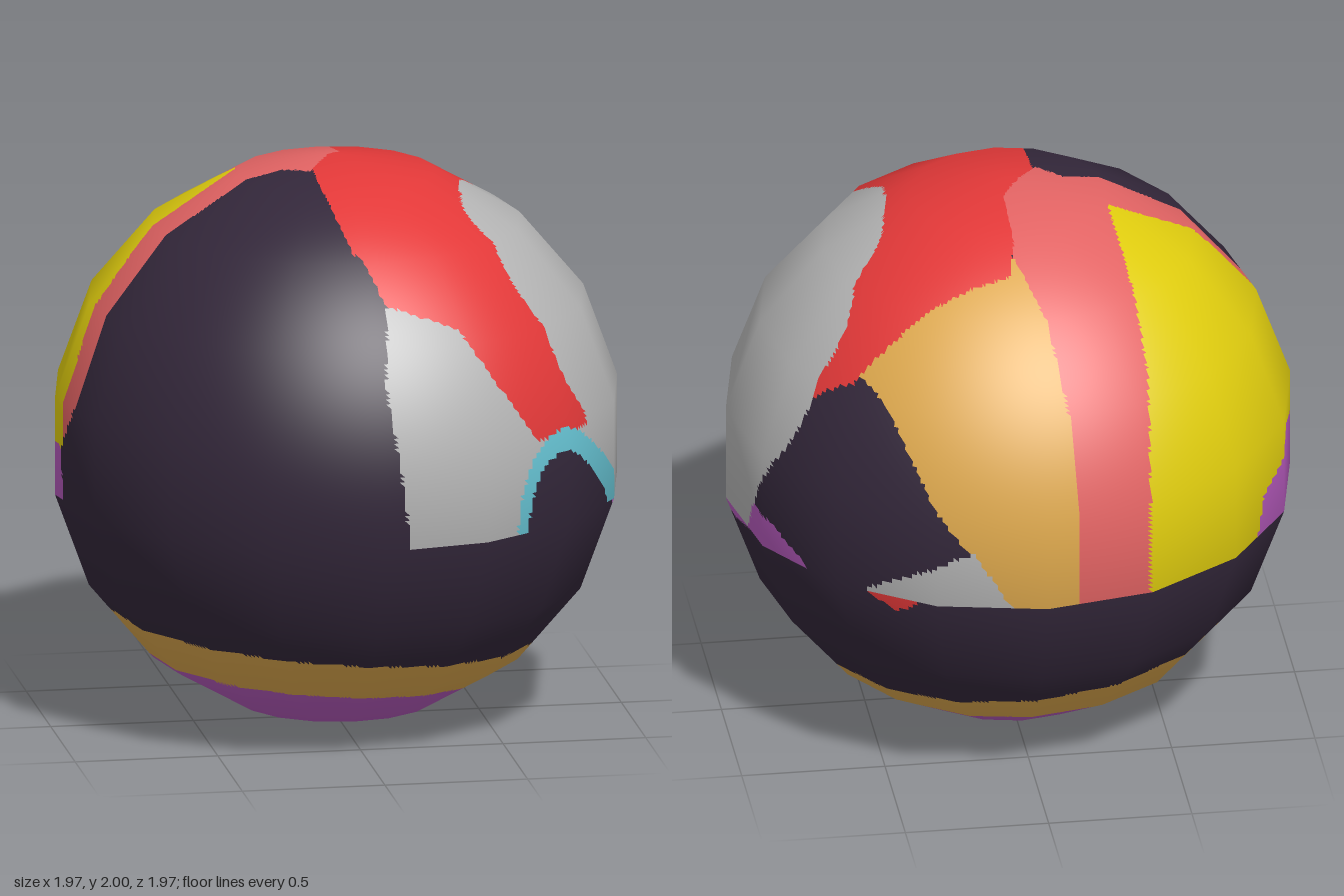
import * as THREE from 'three';

const SIDES = 16, RINGS = 9, CELLS = 20;   // low-poly ball, each facet divided into paint cells
const WAIST = 0.826;                       // ring where the lower bowl begins

const COLOURS = {
  dark: 0x33273a, red: 0xe23838, rose: 0xe26363, grey: 0xb4b4b4,
  cyan: 0x66c2d2, purple: 0xb65abd, gold: 0xdca74c, yellow: 0xdfcc0e,
};

// Is the point (u, v) inside a polygon?
function inside(u, v, poly) {
  let hit = false;
  poly.forEach(([a, b], i) => {
    const [c, d] = poly.at(i - 1);
    if ((b > v) !== (d > v) && u < (c - a) * (v - b) / (d - b) + a) hit = !hit;
  });
  return hit;
}

// Lopsided arch standing on the waist: round on the left, leaning on the right
function arch(angle, y, left, right, height) {
  const across = angle < 0 ? -angle / left : angle / right;
  const power = angle < 0 ? 2 : 1.3;
  return across ** power + ((y - WAIST) / height) ** power < 1;
}

// Trim under the round panel, seen from the side
const onTrim = (z, y) => inside(z, y, [[.44, .83], [.28, .8], [-.05, .77], [-.25, WAIST],
  [-.58, WAIST], [-.4, .94], [-.28, .945], [-.23, .83]]);

// Red band: over the crown, then down the front
const onCrown = (x, z) => inside(x, z, [[.06, -.47], [.62, -.56], [.76, -.45], [.6, .3], [.5, .5],
  [-.04, .6], [-.1, .3], [-.1, .1], [.03, -.1], [.03, -.35]]);
const onBrow = (x, y) => inside(x, y, [[-.1, 1.95], [.05, 1.64], [.3, 1.55], [.57, 1.15],
  [.78, 1.15], [.75, 1.3], [.5, 1.75]]);

// Cheek at the front and the foot of the round side panel
const onCheek = (x, y) => inside(x, y, [[.1, WAIST], [.02, 1.4], [.05, 1.65], [.44, 1.65], [1, 1.2], [1, WAIST]]);
const onPanelFoot = (z, y) => inside(z, y, [[.3, WAIST], [.3, 1.37], [-.46, 1.37], [-.44, 1.22], [-.35, 1.07], [-.24, WAIST]]);

// Patch, panel and strap on the other side
const onSidePatch = (z, y) => inside(z, y, [[.08, WAIST], [.05, 1.01], [-.26, 1.1], [-.51, .96], [-.55, WAIST]]);
const onRearLeft = (x, z) => inside(x, z, [[-.33, -.12], [-.95, .075], [-1.1, .12], [-1.1, -1.1], [-.35, -1.1], [-.39, -.7]]);
const onStrap = (x, z) => inside(x, z, [[-1.1, -1.1], [-.15, -1.1], [-.05, -.65], [.04, -.4], [.03, -.1],
  [-.11, .12], [-.2, .05], [-.65, .13], [-1.1, .215]]);

// Rear panel and the small plates at its lower corner
const onRear = (x, z) => inside(x, z, [[-.2, -1.1], [.38, -1.1], [.38, -.9], [.6, -.55], [0, -.4]]);
const onPlate = (x, y) => inside(x, y, [[.62, WAIST], [.33, 1], [.25, 1.03], [.12, WAIST]]);
const onTip = (x, y) => inside(x, y, [[.61, .83], [.42, .83], [.5, .76]]);

function paint(x, y, z) {
  // tilted rings under the bowl
  if (y < 0.195 - 0.08 * x + 0.02 * z) return 'purple';
  if (y < 0.345 - 0.085 * x + 0.012 * z) return 'gold';
  if (x > 0 && onTrim(z, y)) return 'purple';
  if (z < 0 && onTip(x, y)) return 'red';
  if (y < WAIST) return 'dark';

  // arch on the cheek with its dark opening
  const angle = THREE.MathUtils.radToDeg(Math.atan2(x, z)) - 44.5;
  if (arch(angle, y, 10.5, 20, 0.264)) return 'dark';
  if (arch(angle, y, 13.5, 27.5, 0.344)) return 'cyan';

  // round panel, band and cheek
  if (x > 0 && Math.hypot((z - 0.07) / 0.53, (y - 1.37) / 0.52) < 1) return 'grey';
  if (onCrown(x, z) || (z > 0 && onBrow(x, y))) return 'red';
  if ((z > 0 && onCheek(x, y)) || (x > 0 && onPanelFoot(z, y))) return 'grey';

  // left side, where the strap tapers to a point
  if (x < 0 && onSidePatch(z, y)) return 'purple';
  if (x < 0 && y < 1.19 && z > 0.05 + 0.74 * Math.max(0, y - 1)) return 'dark';
  if (onRearLeft(x, z)) return 'yellow';
  if (onStrap(x, z)) return 'rose';

  // back
  if (z < 0 && onPlate(x, y)) return 'grey';
  if (y > WAIST + 1.4 * (x - 0.12) && onRear(x, z)) return 'gold';
  return 'dark';
}

export function createModel() {
  const parts = {};
  for (const name in COLOURS) parts[name] = { position: [], normal: [] };

  const corner = (ring, side) => new THREE.Vector3().setFromSphericalCoords(
    1, Math.PI * ring / RINGS, 2 * Math.PI * side / SIDES);

  const addTriangle = (a, b, c) => {
    const mid = a.clone().add(b).add(c).divideScalar(3);
    const part = parts[paint(mid.x, mid.y + 1, mid.z)];
    for (const p of [a, b, c]) {
      const n = p.clone().normalize();
      part.position.push(p.x, p.y + 1, p.z);
      part.normal.push(n.x, n.y, n.z);
    }
  };

  // flat facets with smooth normals, sorted cell by cell into the colours
  for (let r = 0; r < RINGS; r++) for (let s = 0; s < SIDES; s++) {
    const A = corner(r, s), B = corner(r, s + 1), C = corner(r + 1, s), D = corner(r + 1, s + 1);
    const at = (i, j) => A.clone().lerp(B, j / CELLS).lerp(C.clone().lerp(D, j / CELLS), i / CELLS);
    for (let i = 0; i < CELLS; i++) for (let j = 0; j < CELLS; j++) {
      const a = at(i, j), b = at(i, j + 1), c = at(i + 1, j), d = at(i + 1, j + 1);
      if (c.distanceToSquared(d) > 1e-9) addTriangle(a, c, d);
      if (a.distanceToSquared(b) > 1e-9) addTriangle(a, d, b);
    }
  }

  const model = new THREE.Group();
  model.name = 'paintedBall';
  for (const [name, { position, normal }] of Object.entries(parts)) {
    const geometry = new THREE.BufferGeometry();
    geometry.setAttribute('position', new THREE.Float32BufferAttribute(position, 3));
    geometry.setAttribute('normal', new THREE.Float32BufferAttribute(normal, 3));
    const material = new THREE.MeshStandardMaterial({ color: COLOURS[name] });
    material.name = name;
    const mesh = new THREE.Mesh(geometry, material);
    mesh.name = name + 'Panels';
    model.add(mesh);
  }
  return model;
}
